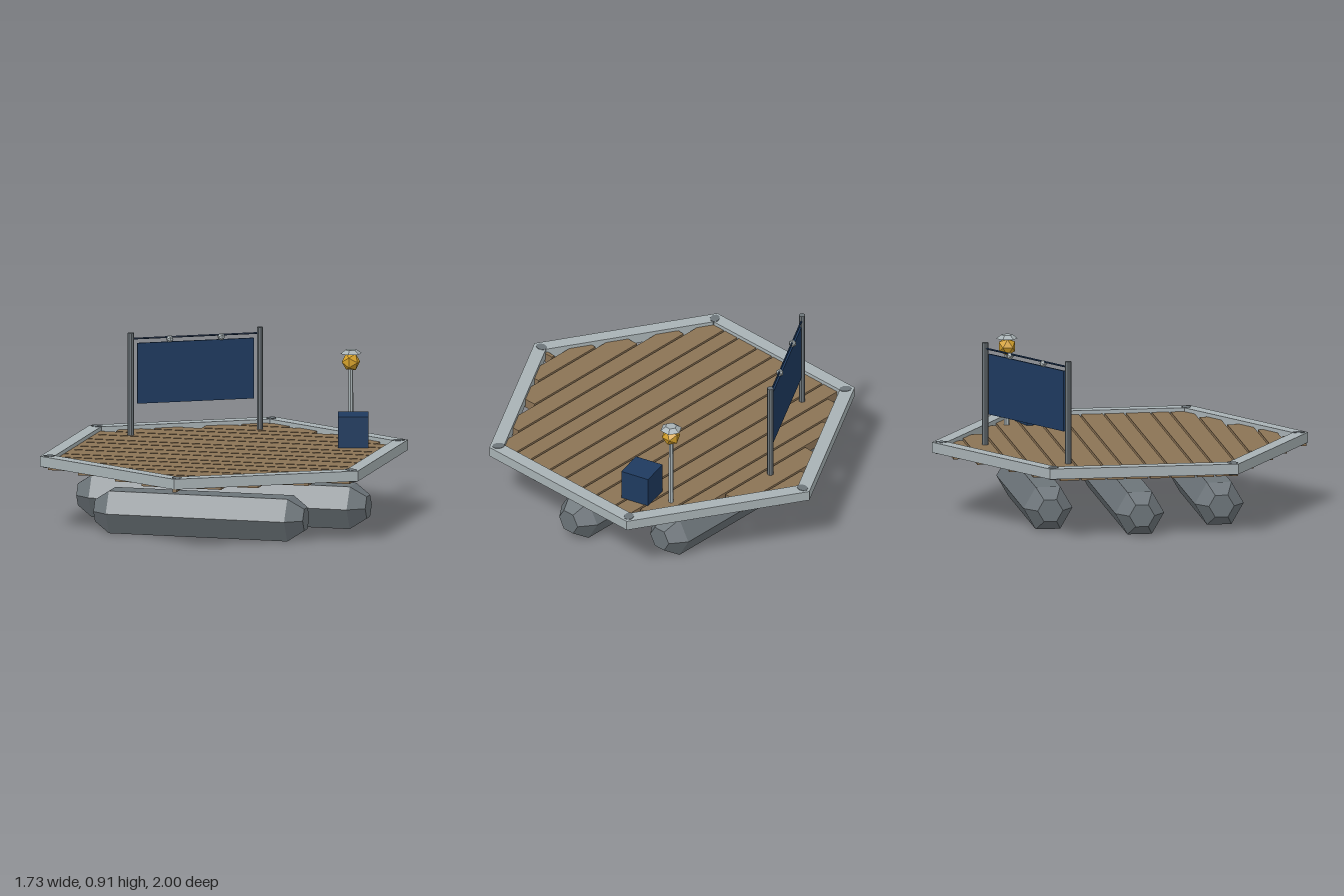
import * as THREE from 'three';

const mat = (name, color) => {
  const m = new THREE.MeshStandardMaterial({ color, flatShading: true });
  m.name = name;
  return m;
};

export function createModel() {
  const wood = mat('wood', 0x8b7355);
  const paleMetal = mat('pale metal', 0xa8b2b5);
  const darkMetal = mat('dark metal', 0x6c7479);
  const navy = mat('navy', 0x1e3a5f);
  const amber = mat('amber', 0xd4a02a);

  const root = new THREE.Group();
  root.name = 'hexagonalRaft';
  const add = (parent, name, geo, material, x = 0, y = 0, z = 0) => {
    const m = new THREE.Mesh(geo, material);
    m.name = name;
    m.position.set(x, y, z);
    parent.add(m);
    return m;
  };
  const group = (name, x = 0, y = 0, z = 0) => {
    const g = new THREE.Group();
    g.name = name;
    g.position.set(x, y, z);
    root.add(g);
    return g;
  };

  // Hexagonal rim with corners on +z and -z
  const hexPoints = r => Array.from({ length: 6 }, (_, i) => {
    const a = Math.PI / 2 + i * Math.PI / 3;
    return new THREE.Vector2(r * Math.cos(a), r * Math.sin(a));
  });
  const ring = new THREE.Shape(hexPoints(1));
  ring.holes.push(new THREE.Path(hexPoints(0.918).reverse()));
  const rimGeo = new THREE.ExtrudeGeometry(ring, { depth: 0.055, bevelEnabled: false });
  rimGeo.rotateX(-Math.PI / 2);
  add(root, 'rim', rimGeo, paleMetal, 0, 0.335, 0);

  // Bolts through the rim corners, stretched outward
  const boltGeo = new THREE.CylinderGeometry(0.026, 0.026, 0.063, 8);
  boltGeo.scale(1, 1, 1.3);
  for (let i = 0; i < 6; i++) {
    const a = i * Math.PI / 3;
    const bolt = add(root, 'cornerBolt', boltGeo, darkMetal, 0.95 * Math.sin(a), 0.3605, 0.95 * Math.cos(a));
    bolt.rotation.y = a;
  }

  // Deck planks of uneven width, trimmed to the hexagon
  const deckTop = 0.37, deckBottom = 0.319, gap = 0.011;
  const widths = [0.09, 0.125, 0.089, 0.116, 0.101, 0.127, 0.09, 0.116,
    0.101, 0.127, 0.09, 0.117, 0.101, 0.126, 0.089, 0.126];
  const deck = group('deck');
  let z = -0.905;
  for (const w of widths) {
    const far = Math.max(Math.abs(z), Math.abs(z + w));
    const half = Math.max(0.01, Math.min(0.832, (1 - far) * Math.sqrt(3) - 0.036));
    add(deck, 'plank', new THREE.BoxGeometry(2 * half, deckTop - deckBottom, w), wood,
      0, (deckTop + deckBottom) / 2, z + w / 2);
    z += w + gap;
  }

  // Six-sided floats with tapered ends, the middle one longest
  const floatGeo = half => {
    const profile = [[0, -half], [0.067, -half], [0.13, 0.084 - half],
      [0.13, half - 0.084], [0.067, half], [0, half]];
    const g = new THREE.LatheGeometry(profile.map(p => new THREE.Vector2(...p)), 6);
    return g.rotateZ(Math.PI / 2);
  };
  for (const [fz, half] of [[-0.455, 0.57], [0, 0.787], [0.455, 0.57]]) {
    add(root, 'float', floatGeo(half), darkMetal, 0, 0.1126, fz);
  }

  // Hanging screen between two posts, parallel to the back edge
  const screen = group('screen', -0.303, 0, -0.541);
  screen.rotation.y = Math.PI / 6;
  for (const s of [-1, 1]) {
    add(screen, 'post', new THREE.CylinderGeometry(0.017, 0.017, 0.55, 8), darkMetal, s * 0.351, 0.64, 0);
    add(screen, 'clamp', new THREE.IcosahedronGeometry(0.021, 0), paleMetal, s * 0.14, 0.873, 0);
  }
  const rod = add(screen, 'rod', new THREE.CylinderGeometry(0.005, 0.005, 0.7, 6), navy, 0, 0.884, 0);
  rod.rotation.z = Math.PI / 2;
  add(screen, 'panel', new THREE.BoxGeometry(0.634, 0.323, 0.01), navy, 0, 0.698, 0);

  // Lamp with a faceted globe and a hexagonal cap
  const lamp = group('lamp', 0.55, 0, -0.52);
  add(lamp, 'pole', new THREE.CylinderGeometry(0.012, 0.014, 0.4, 6), paleMetal, 0, 0.565, 0);
  add(lamp, 'globe', new THREE.IcosahedronGeometry(0.05, 0), amber, 0, 0.788, 0);
  add(lamp, 'cap', new THREE.CylinderGeometry(0.03, 0.058, 0.02, 6), paleMetal, 0, 0.842, 0);

  // Storage crate
  const crate = add(root, 'crate', new THREE.BoxGeometry(0.16, 0.167, 0.16), navy, 0.606, 0.4535, -0.362);
  crate.rotation.y = Math.PI / 12;

  return root;
}
